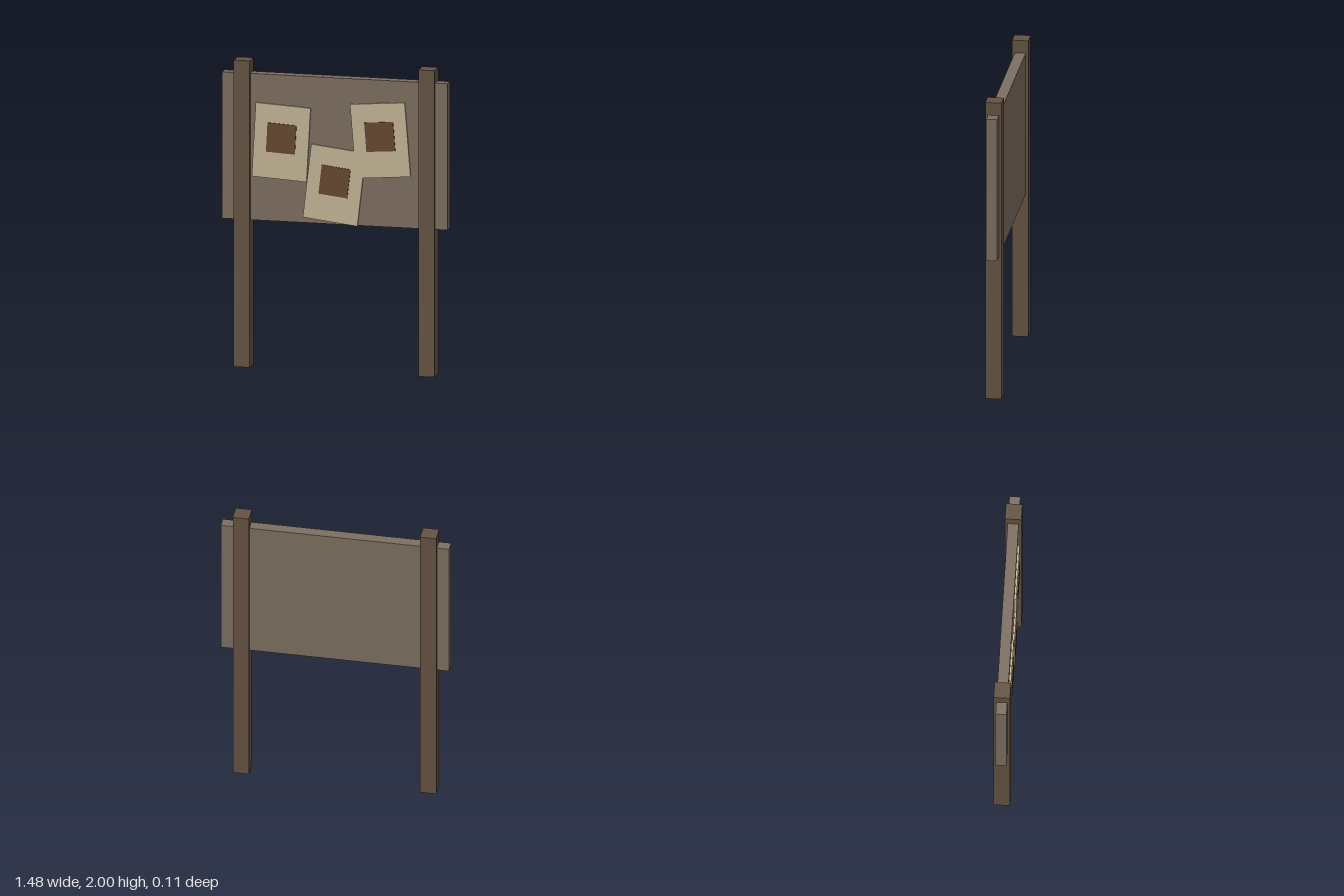
import * as THREE from 'three';

const material = (color) => new THREE.MeshStandardMaterial({ color });

function box(name, mat, w, h, d, x, y, z) {
  const mesh = new THREE.Mesh(new THREE.BoxGeometry(w, h, d), mat);
  mesh.name = name;
  mesh.position.set(x, y, z);
  return mesh;
}

export function createModel() {
  const group = new THREE.Group();
  group.name = 'noticeBoard';

  const postWood = material(0x665443);
  const boardWood = material(0x7e7062);
  const paper = material(0xc6b898);
  const ink = material(0x684830);

  // Two square posts carrying the board
  for (const [side, name] of [[1, 'leftPost'], [-1, 'rightPost']]) {
    group.add(box(name, postWood, 0.105, 2, 0.105, side * 0.607, 1, 0));
  }

  // Board passing through the posts
  group.add(box('board', boardWood, 1.48, 0.955, 0.07, 0, 1.438, 0));

  // Pinned notices, each a tilted sheet with a square picture: x, y, tilt
  const notices = [
    [-0.349, 1.479, -0.055],
    [0.302, 1.524, 0.08],
    [0, 1.217, -0.115],
  ];
  for (const [x, y, tilt] of notices) {
    const notice = new THREE.Group();
    notice.name = 'notice';
    notice.position.set(x, y, 0);
    notice.rotation.z = tilt;
    notice.add(
      box('sheet', paper, 0.36, 0.483, 0.012, 0, 0, 0.041),
      box('picture', ink, 0.19, 0.19, 0.007, 0, 0.025, 0.0495),
    );
    group.add(notice);
  }
  return group;
}
